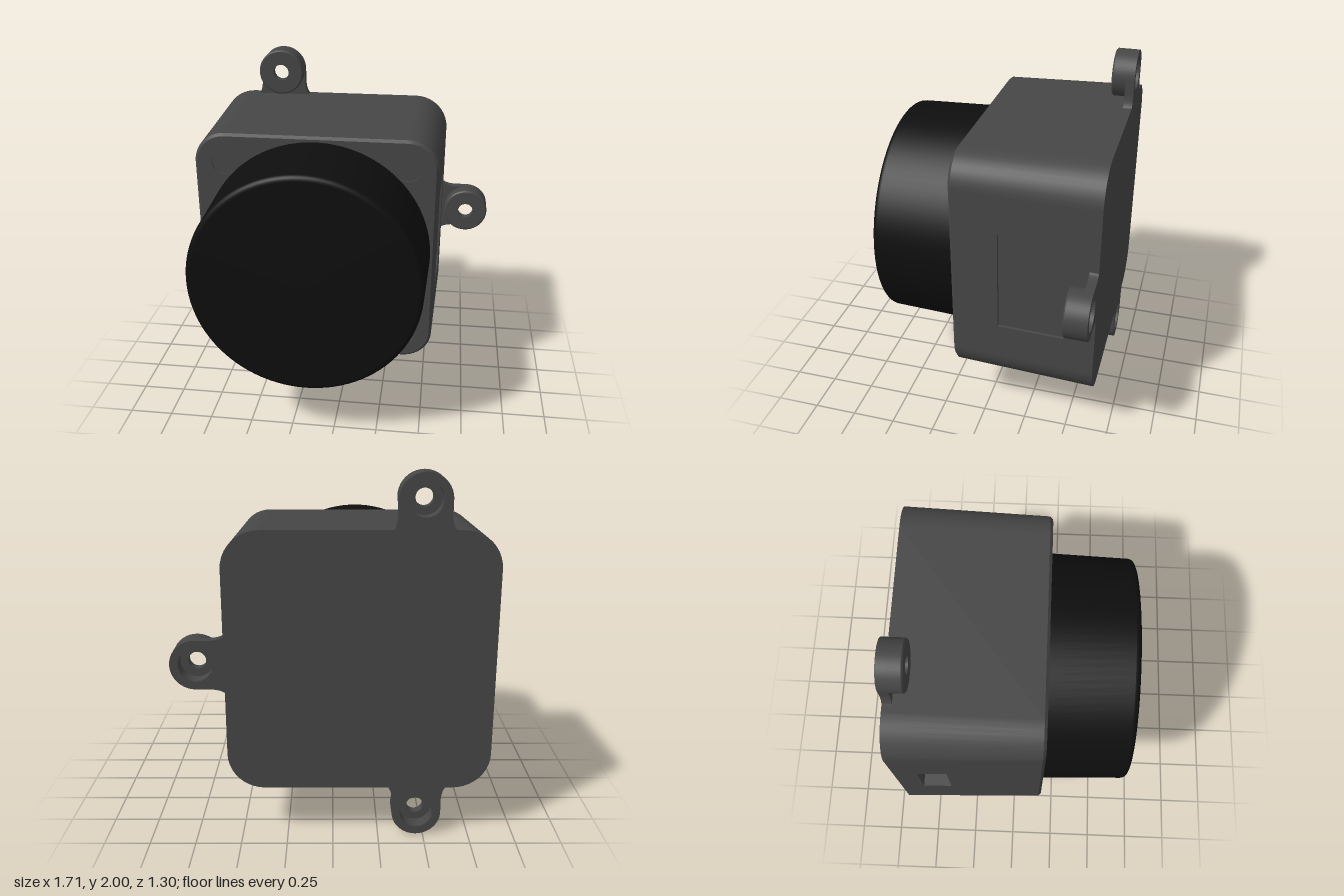
import * as THREE from 'three';
import { mergeGeometries } from 'three/addons/utils/BufferGeometryUtils.js';

const CX = -0.143, CY = 1.0;              // axis of housing and lens
const BACK = -0.65, FRONT = 0.17, BEVEL = 0.155;
const CORNER = 0.513;                     // corner arc centres, constant along the taper
const half = z => 0.713 - 0.034 * (z - BACK);

const grey = new THREE.MeshStandardMaterial({ color: 0x464646 });
const greyDouble = new THREE.MeshStandardMaterial({ color: 0x464646, side: THREE.DoubleSide });
const black = new THREE.MeshStandardMaterial({ color: 0x0e0e0e });

function mesh(name, geometry, material = grey) {
  const m = new THREE.Mesh(geometry, material);
  m.name = name;
  return m;
}

// Lathe about z, with a sharp edge between the profile pieces
function creasedLathe(pieces, segments) {
  const parts = pieces.map(p =>
    new THREE.LatheGeometry(p.map(([r, z]) => new THREE.Vector2(r, z)), segments));
  return mergeGeometries(parts).rotateX(Math.PI / 2);
}

// Rounded square outline with its outward directions
function outline(h) {
  const pts = [], r = h - CORNER, n = 10;
  [[1, 1], [-1, 1], [-1, -1], [1, -1]].forEach(([sx, sy], q) => {
    for (let i = 0; i <= n; i++) {
      const a = (q + i / n) * Math.PI / 2, c = Math.cos(a), s = Math.sin(a);
      pts.push({ x: sx * CORNER + r * c, y: sy * CORNER + r * s, c, s });
    }
  });
  return pts;
}

// Shell between two outlines; the flat left and right sides may stay open
function shell(z0, h0, z1, h1, openSides) {
  const pos = [], nor = [], idx = [], slope = (h0 - h1) / (z1 - z0);
  const len = Math.hypot(1, slope);
  for (const [z, h] of [[z0, h0], [z1, h1]])
    for (const p of outline(h)) {
      pos.push(CX + p.x, CY + p.y, z);
      nor.push(p.c / len, p.s / len, slope / len);
    }
  const n = pos.length / 6;
  for (let i = 0; i < n; i++) {
    if (openSides && (i === 21 || i === n - 1)) continue;
    const j = (i + 1) % n;
    idx.push(i, j, n + j, i, n + j, n + i);
  }
  const g = new THREE.BufferGeometry();
  g.setAttribute('position', new THREE.Float32BufferAttribute(pos, 3));
  g.setAttribute('normal', new THREE.Float32BufferAttribute(nor, 3));
  g.setIndex(idx);
  return g;
}

// Shift x so that local x = 0 lies on the tapered side wall
function followTaper(g, side) {
  const p = g.attributes.position;
  for (let i = 0; i < p.count; i++)
    p.setX(i, CX + p.getX(i) + side * half(p.getZ(i)));
  g.computeVertexNormals();
  return g;
}

// Flat side wall with a rectangular pocket
function sideWall(name, side, z0, z1, y0, y1, depth) {
  const rect = (path, a, b, c, d) => {
    const u = z => -side * z;
    path.moveTo(u(a), c).lineTo(u(b), c).lineTo(u(b), d).lineTo(u(a), d).closePath();
    return path;
  };
  const shape = rect(new THREE.Shape(), BACK, BEVEL, CY - CORNER, CY + CORNER);
  shape.holes.push(rect(new THREE.Path(), z0, z1, y0, y1));
  const wall = new THREE.ShapeGeometry(shape).rotateY(side * Math.PI / 2);

  const box = new THREE.BoxGeometry(depth, y1 - y0, z1 - z0);
  const idx = [...box.index.array];
  idx.splice(side > 0 ? 0 : 6, 6);        // leave the outer face open
  box.setIndex(idx);
  box.translate(-side * depth / 2, (y0 + y1) / 2, (z0 + z1) / 2);

  const g = new THREE.Group();
  g.name = name;
  g.add(mesh(name + 'Wall', followTaper(wall, side)),
    mesh(name + 'Pocket', followTaper(box, side), greyDouble));
  return g;
}

function faceShape(h) {
  return new THREE.Shape(outline(h).map(p => new THREE.Vector2(p.x, p.y)));
}

function housing() {
  const g = new THREE.Group();
  g.name = 'housing';
  const hb = half(BEVEL), hf = hb - 0.015;
  g.add(mesh('housingShell', shell(BACK, half(BACK), BEVEL, hb, true)));
  g.add(mesh('frontBevel', shell(BEVEL, hb, FRONT, hf, false)));
  g.add(sideWall('leftPanel', 1, -0.48, -0.1, 0.69, 1.29, 0.02));
  g.add(sideWall('rightPort', -1, -0.52, -0.36, 0.81, 1.17, 0.15));

  const back = new THREE.ShapeGeometry(faceShape(half(BACK))).rotateY(Math.PI);
  g.add(mesh('backPlate', back.translate(CX, CY, BACK)));

  // Front face with four shallow round recesses
  const face = faceShape(hf), r = 0.07, d = 0.52;
  for (const sx of [-1, 1]) for (const sy of [-1, 1]) {
    face.holes.push(new THREE.Path().absarc(sx * d, sy * d, r, 0, Math.PI * 2, true));
    const recess = creasedLathe([[[r, 0], [r, -0.012]], [[r, -0.012], [0, -0.012]]], 32);
    g.add(mesh('cornerRecess', recess.translate(CX + sx * d, CY + sy * d, FRONT), greyDouble));
  }
  g.add(mesh('frontFace', new THREE.ShapeGeometry(face, 16).translate(CX, CY, FRONT)));
  return g;
}

function lens() {
  const fillet = [];
  for (let i = 0; i <= 6; i++) {
    const a = i / 6 * Math.PI / 2;
    fillet.push([0.612 + 0.03 * Math.cos(a), 0.617 + 0.03 * Math.sin(a)]);
  }
  const g = creasedLathe([[[0.657, FRONT], [0.642, 0.617]], fillet, [[0.612, 0.647], [0, 0.647]]], 96);
  return mesh('lensCap', g.translate(CX, CY, 0), black);
}

// Screw ear: flared plate plus a counterbored boss, pointing along +y
function ear(name, x, y, turn) {
  const R = 0.135, bore = 0.09, hole = 0.047, plateTop = -0.6, top = -0.52;
  const s = new THREE.Shape();
  s.moveTo(0.165, -0.157).quadraticCurveTo(0.14, -0.145, R, -0.08).lineTo(R, 0);
  s.absarc(0, 0, R, 0, Math.PI, false);
  s.lineTo(-R, -0.08).quadraticCurveTo(-0.14, -0.145, -0.165, -0.157);
  s.holes.push(new THREE.Path().absarc(0, 0, bore, 0, Math.PI * 2, true));
  const plate = new THREE.ExtrudeGeometry(s,
    { depth: plateTop - BACK, bevelEnabled: false, curveSegments: 20 }).translate(0, 0, BACK);

  const profile = [[R, plateTop], [R, top - 0.008], [R - 0.008, top], [hole, top],
    [hole, -0.57], [bore, -0.57], [bore, plateTop]];
  const pieces = profile.slice(1).map((p, i) => [profile[i], p]);

  const g = new THREE.Group();
  g.name = name;
  g.add(mesh('earPlate', plate), mesh('earBoss', creasedLathe(pieces, 40)));
  g.position.set(x, y, 0);
  g.rotation.z = turn;
  return g;
}

export function createModel() {
  const model = new THREE.Group();
  model.name = 'sensorModule';
  model.add(housing(), lens());
  model.add(ear('topEar', -0.46, 1.865, 0));
  model.add(ear('bottomEar', -0.46, 0.135, Math.PI));
  model.add(ear('leftEar', 0.72, 1.0, -Math.PI / 2));
  return model;
}
